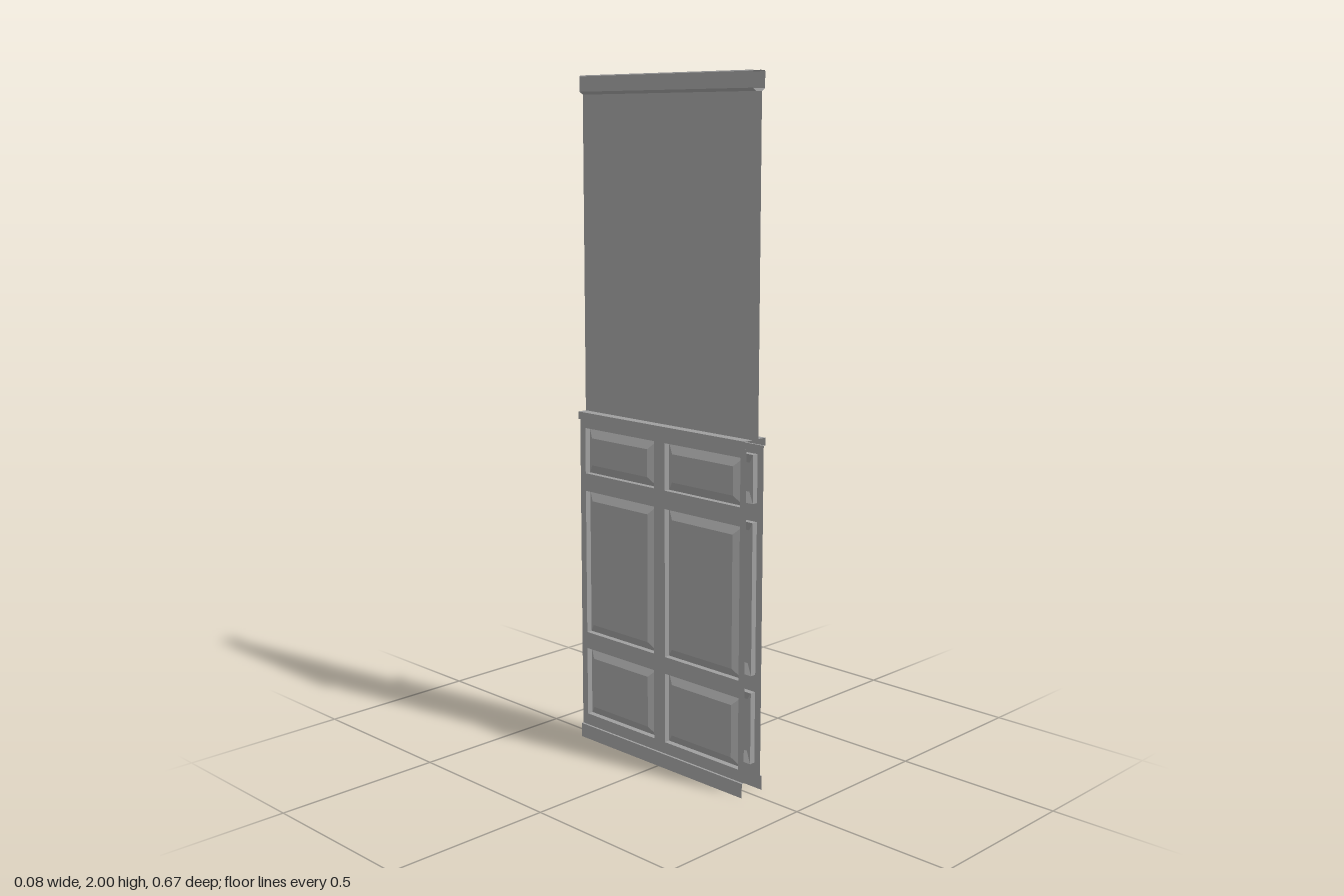
import * as THREE from 'three';

const HALF = 0.333;     // half the length of the wall section
const FACE = 0.035;     // front plane of the wainscot frame
const RECESS = 0.017;   // bottom of the groove around each panel
const FIELD = 0.034;    // raised field of each panel
const WALL = 0.012;     // plane of the plain upper wall
const FRAME_LOW = 0.043, FRAME_HIGH = 1.0;
const material = new THREE.MeshStandardMaterial({ color: 0x9e9e9e, flatShading: true, side: THREE.DoubleSide });

// Flat-shaded mesh from a list of four-cornered faces
function quadMesh(name, quads) {
  const positions = [];
  for (const [a, b, c, d] of quads) positions.push(...a, ...b, ...c, ...a, ...c, ...d);
  const geometry = new THREE.BufferGeometry();
  geometry.setAttribute('position', new THREE.Float32BufferAttribute(positions, 3));
  geometry.computeVertexNormals();
  const mesh = new THREE.Mesh(geometry, material);
  mesh.name = name;
  return mesh;
}

// Open moulding: an [x, y] profile swept along the length of the wall
function moulding(name, profile) {
  const quads = profile.slice(1).map(([x, y], i) => {
    const [px, py] = profile[i];
    return [[px, py, HALF], [px, py, -HALF], [x, y, -HALF], [x, y, HALF]];
  });
  return quadMesh(name, quads);
}

// Raised panel: groove wall, sloping bevel, flat field
function raisedPanel({ z0, z1, y0, y1 }) {
  const ring = (x, inset) => [
    [x, y0 + inset, z1 - inset], [x, y0 + inset, z0 + inset],
    [x, y1 - inset, z0 + inset], [x, y1 - inset, z1 - inset],
  ];
  const rings = [ring(FACE, 0), ring(RECESS, 0), ring(FIELD, 0.028)];
  const quads = [rings[2]];
  for (let r = 0; r < 2; r++) {
    for (let i = 0; i < 4; i++) {
      const j = (i + 1) % 4;
      quads.push([rings[r][i], rings[r][j], rings[r + 1][j], rings[r + 1][i]]);
    }
  }
  return quadMesh('raisedPanel', quads);
}

// Stiles and rails as one sheet with an opening per panel
function frame(panels) {
  const rect = (path, a, b, c, d) => {
    path.moveTo(a, c); path.lineTo(b, c); path.lineTo(b, d); path.lineTo(a, d); path.closePath();
    return path;
  };
  const shape = rect(new THREE.Shape(), -HALF, HALF, FRAME_LOW, FRAME_HIGH);
  for (const p of panels) shape.holes.push(rect(new THREE.Path(), -p.z1, -p.z0, p.y0, p.y1));
  const geometry = new THREE.ShapeGeometry(shape).rotateY(Math.PI / 2).translate(FACE, 0, 0);
  const mesh = new THREE.Mesh(geometry, material);
  mesh.name = 'panelFrame';
  return mesh;
}

// One face of the wall, looking towards +x
function wallSide(name) {
  const side = new THREE.Group();
  side.name = name;
  const panels = [];
  for (const [y0, y1] of [[0.078, 0.289], [0.34, 0.782], [0.836, 0.974]]) {
    for (const [z0, z1] of [[-0.311, -0.022], [0.022, 0.311]]) panels.push({ z0, z1, y0, y1 });
  }
  side.add(
    moulding('baseboard', [[0.042, 0], [0.042, FRAME_LOW], [FACE, FRAME_LOW]]),
    frame(panels),
    ...panels.map(raisedPanel),
    moulding('chairRail', [[FACE, FRAME_HIGH], [0.042, FRAME_HIGH], [0.042, 1.022], [WALL, 1.022]]),
    moulding('upperWall', [[WALL, 1.022], [WALL, 1.946]]),
    moulding('topRail', [[WALL, 1.946], [0.024, 1.954], [0.024, 1.997], [0.021, 2], [0.0065, 2]]),
  );
  return side;
}

export function createModel() {
  const model = new THREE.Group();
  model.name = 'panelledWall';
  const left = wallSide('leftSide');
  const right = wallSide('rightSide');
  right.rotation.y = Math.PI;
  model.add(left, right);
  return model;
}
